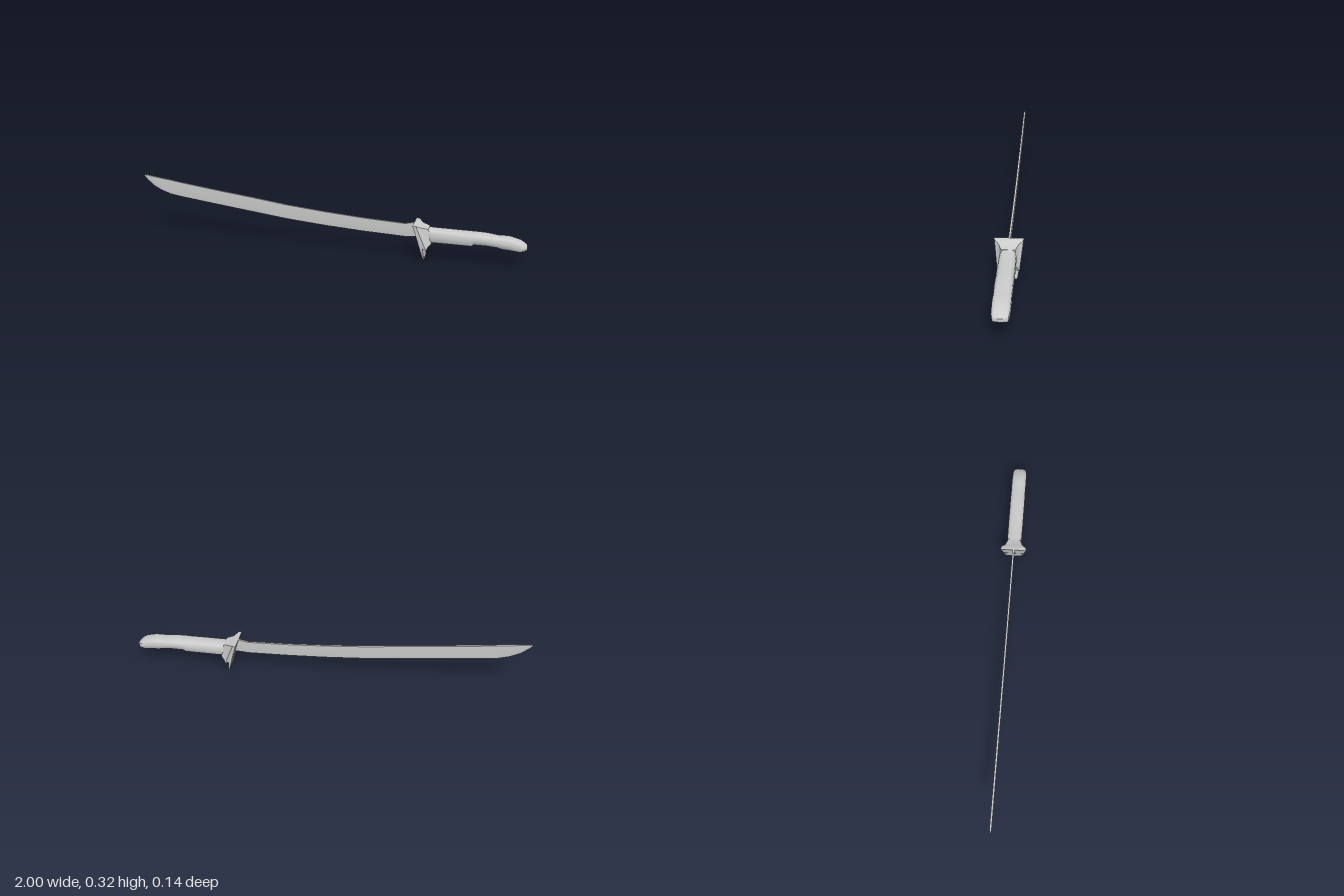
import * as THREE from 'three';
import { toCreasedNormals } from 'three/addons/utils/BufferGeometryUtils.js';

const material = new THREE.MeshStandardMaterial({ color: 0xcccccc, side: THREE.DoubleSide });

// Skin a row of equal-length rings of [x, y, z] points and cap both ends
function loft(name, rings, crease) {
  const n = rings[0].length;
  const index = [];
  for (let i = 0; i < rings.length - 1; i++) {
    for (let j = 0; j < n; j++) {
      const a = i * n + j, b = i * n + (j + 1) % n;
      index.push(a, b, b + n, a, b + n, a + n);
    }
  }
  const end = (rings.length - 1) * n;
  for (let j = 1; j < n - 1; j++) {
    index.push(0, j + 1, j, end, end + j, end + j + 1);
  }
  const geometry = new THREE.BufferGeometry();
  geometry.setAttribute('position', new THREE.Float32BufferAttribute(rings.flat(2), 3));
  geometry.setIndex(index);
  const mesh = new THREE.Mesh(toCreasedNormals(geometry, crease), material);
  mesh.name = name;
  return mesh;
}

export function createModel() {
  const group = new THREE.Group();
  group.name = 'sword';

  // Curved blade: x, cutting edge y, spine y
  const bladeStations = [
    [-1, 0.311, 0.317], [-0.985, 0.293, 0.316], [-0.95, 0.262, 0.311],
    [-0.9, 0.236, 0.304], [-0.85, 0.22, 0.298], [-0.8, 0.212, 0.29],
    [-0.6, 0.187, 0.264], [-0.4, 0.163, 0.24], [-0.2, 0.139, 0.214],
    [0, 0.122, 0.195], [0.2, 0.11, 0.18], [0.41, 0.102, 0.17],
    [0.46, 0.105, 0.181], [0.5, 0.105, 0.165],
  ];
  group.add(loft('blade', bladeStations.map(([x, low, high]) => {
    const t = x < -0.99 ? 0.002 : 0.005;
    const mid = low + (high - low) * 0.4;
    return [[x, high, -t], [x, high, t], [x, mid, t],
      [x, low, 0.002], [x, low, -0.002], [x, mid, -t]];
  }), 0.5));

  // Slanted guard tapering into the grip: top x, y, half width; bottom x, y, half width
  const guardStations = [
    [0.457, 0.182, 0.068, 0.49, 0.075, 0.054],
    [0.473, 0.181, 0.066, 0.525, 0.054, 0.051],
    [0.495, 0.168, 0.045, 0.533, 0.07, 0.042],
    [0.53, 0.16, 0.032, 0.548, 0.086, 0.034],
  ];
  group.add(loft('guard', guardStations.map(([tx, ty, tw, bx, by, bw]) => [
    [tx, ty, -tw], [tx, ty, tw], [bx, by, bw], [bx, by, -bw],
  ]), 0.5));

  // Thin finger plate hanging below the guard: y, front x, back x, half width
  const plateStations = [
    [0.085, 0.486, 0.505, 0.054], [0.055, 0.495, 0.508, 0.05], [0.003, 0.511, 0.516, 0.04],
  ];
  group.add(loft('fingerPlate', plateStations.map(([y, x0, x1, w]) => [
    [x1, y, -w], [x1, y, w], [x0, y, w], [x0, y - 0.003, -w],
  ]), 0.5));

  // Rounded square grip with a step below and a bent pommel: x, low y, high y, half width
  const gripStations = [
    [0.51, 0.095, 0.163, 0.03], [0.55, 0.088, 0.157, 0.039], [0.65, 0.088, 0.156, 0.04],
    [0.74, 0.088, 0.155, 0.04], [0.75, 0.097, 0.155, 0.04], [0.81, 0.097, 0.153, 0.04],
    [0.86, 0.094, 0.146, 0.039], [0.885, 0.087, 0.147, 0.04], [0.915, 0.085, 0.146, 0.04],
    [0.965, 0.081, 0.134, 0.039], [0.99, 0.086, 0.119, 0.034], [1, 0.094, 0.11, 0.02],
  ];
  const round = (v) => Math.sign(v) * Math.abs(v) ** 0.55;
  group.add(loft('grip', gripStations.map(([x, low, high, w]) =>
    Array.from({ length: 16 }, (_, j) => {
      const a = j / 16 * Math.PI * 2;
      return [x, (low + high) / 2 + round(Math.cos(a)) * (high - low) / 2, round(Math.sin(a)) * w];
    })), 0.7));

  return group;
}
